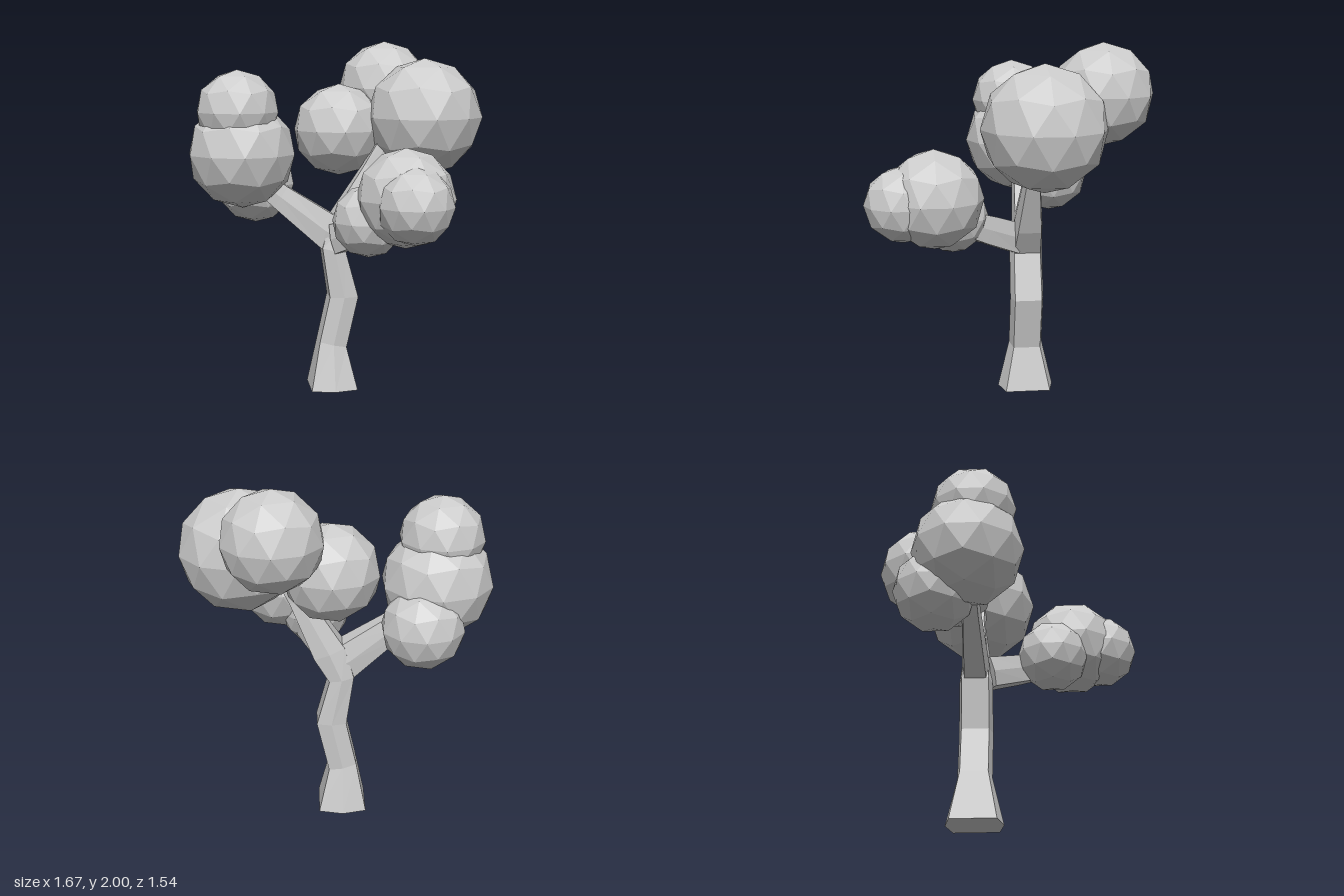
import * as THREE from 'three';

const material = new THREE.MeshStandardMaterial({ color: 0xcccccc, flatShading: true });

// Six-sided limb cross-section as [across, depth] factors
const SECTION = [[0, 1], [1, 0.8], [1, -0.8], [0, -1], [-1, -0.8], [-1, 0.8]];

// Lofts a limb through rings of [x, y, z, halfAcross, halfDepth, tilt].
// heading is the horizontal direction of the "across" axis when tilt is 0.
function limb(name, heading, rings) {
  const up = new THREE.Vector3(0, 1, 0);
  const h = new THREE.Vector3(...heading).normalize();
  const depth = h.clone().cross(up);
  const n = SECTION.length;
  const pos = [];
  const index = [];
  rings.forEach(([x, y, z, ha, hb, tilt]) => {
    const across = h.clone().multiplyScalar(Math.cos(tilt)).addScaledVector(up, Math.sin(tilt));
    for (const [a, b] of SECTION) {
      const p = new THREE.Vector3(x, y, z).addScaledVector(across, a * ha).addScaledVector(depth, b * hb);
      pos.push(p.x, p.y, p.z);
    }
  });
  for (let r = 0; r < rings.length - 1; r++) {
    for (let i = 0; i < n; i++) {
      const a = r * n + i, b = r * n + (i + 1) % n;
      index.push(a, b, b + n, a, b + n, a + n);
    }
  }
  // End caps
  const last = (rings.length - 1) * n;
  for (let i = 1; i < n - 1; i++) {
    index.push(0, i + 1, i, last, last + i, last + i + 1);
  }
  const geo = new THREE.BufferGeometry();
  geo.setAttribute('position', new THREE.Float32BufferAttribute(pos, 3));
  geo.setIndex(index);
  const flat = geo.toNonIndexed();
  flat.computeVertexNormals();
  const mesh = new THREE.Mesh(flat, material);
  mesh.name = name;
  return mesh;
}

export function createModel() {
  const tree = new THREE.Group();
  tree.name = 'tree';

  // Trunk, bending upward into the main bough on the left
  tree.add(limb('trunk', [1, 0, 0], [
    [-0.027, 0, -0.143, 0.133, 0.158, 0],
    [-0.029, 0.262, -0.143, 0.079, 0.095, -0.22],
    [0.034, 0.541, -0.143, 0.082, 0.095, 0],
    [-0.022, 0.815, -0.143, 0.069, 0.093, -0.2],
    [0.045, 0.97, -0.146, 0.09, 0.082, -0.4],
    [0.21, 1.28, -0.148, 0.055, 0.042, -0.45],
    [0.33, 1.5, -0.15, 0.045, 0.04, -0.45],
  ]));

  // Side bough on the right
  tree.add(limb('rightBough', [1, 0, 0], [
    [0.0, 0.89, -0.143, 0.1, 0.08, 1.2],
    [-0.07, 0.93, -0.143, 0.105, 0.075, 1.3],
    [-0.325, 1.125, -0.15, 0.07, 0.052, 0.95],
    [-0.44, 1.22, -0.152, 0.06, 0.045, 0.95],
  ]));

  // Front bough
  tree.add(limb('frontBough', [-0.64, 0, -0.77], [
    [0.0, 0.885, -0.08, 0.085, 0.065, 1.3],
    [0.13, 0.965, 0.1, 0.078, 0.05, 1.2],
    [0.23, 1.03, 0.25, 0.065, 0.045, 1.2],
  ]));

  // Foliage: faceted balls with a vertex pointing straight up
  const ball = new THREE.IcosahedronGeometry(1, 1);
  ball.rotateZ(-Math.atan(2 / (1 + Math.sqrt(5))));
  const foliage = new THREE.Group();
  foliage.name = 'foliage';
  const clumps = [
    ['leftLargeClump', 0.515, 1.57, -0.165, 0.335],
    ['leftTopClump', 0.339, 1.728, -0.5, 0.272],
    ['leftInnerClump', 0.038, 1.491, -0.31, 0.266],
    ['rightTopClump', -0.563, 1.61, -0.125, 0.235],
    ['rightLargeClump', -0.54, 1.371, -0.156, 0.307],
    ['rightLowerClump', -0.451, 1.181, -0.339, 0.228],
    ['frontLargeClump', 0.298, 1.172, 0.396, 0.271],
    ['frontOuterClump', 0.317, 1.151, 0.565, 0.207],
    ['frontInnerClump', 0.116, 1.038, 0.285, 0.2],
  ];
  for (const [name, x, y, z, r] of clumps) {
    const mesh = new THREE.Mesh(ball, material);
    mesh.name = name;
    mesh.position.set(x, y, z);
    mesh.scale.setScalar(r);
    foliage.add(mesh);
  }
  tree.add(foliage);
  return tree;
}
